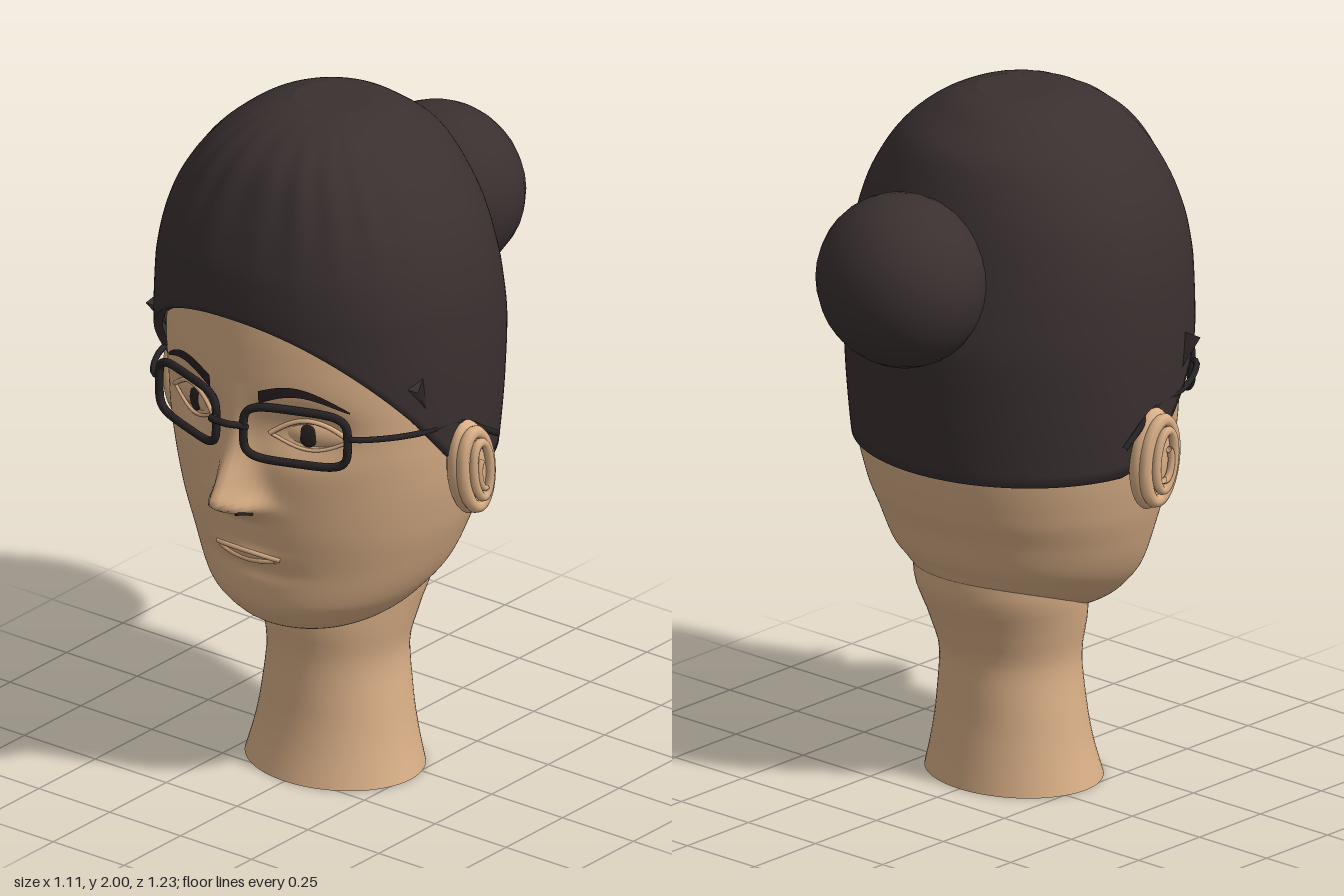
import * as THREE from 'three';

const mat = (name, color, side = THREE.FrontSide) => {
  const m = new THREE.MeshStandardMaterial({ color, side });
  m.name = name;
  return m;
};

// Monotone smooth interpolation of column c in a table keyed by its first column
function sample(rows, key, c) {
  const n = rows.length;
  const slope = (i) => (rows[i + 1][c] - rows[i][c]) / (rows[i + 1][0] - rows[i][0]);
  const tangent = (i) => {
    if (i === 0) return slope(0);
    if (i === n - 1) return slope(n - 2);
    const a = slope(i - 1), b = slope(i);
    return a * b <= 0 ? 0 : (2 * a * b) / (a + b);
  };
  if (key <= rows[0][0]) return rows[0][c];
  if (key >= rows[n - 1][0]) return rows[n - 1][c];
  let i = 0;
  while (key > rows[i + 1][0]) i++;
  const h = rows[i + 1][0] - rows[i][0], t = (key - rows[i][0]) / h, t2 = t * t, t3 = t2 * t;
  return (2 * t3 - 3 * t2 + 1) * rows[i][c] + (t3 - 2 * t2 + t) * h * tangent(i)
    + (3 * t2 - 2 * t3) * rows[i + 1][c] + (t3 - t2) * h * tangent(i + 1);
}

// Closed-round surface: fn(angle, v) -> [x, y, z], angle 0 faces +z
function loft(fn, nu, nv) {
  const pos = [], idx = [];
  for (let j = 0; j <= nv; j++)
    for (let i = 0; i < nu; i++) pos.push(...fn((i / nu) * Math.PI * 2, j / nv));
  for (let j = 0; j < nv; j++)
    for (let i = 0; i < nu; i++) {
      const a = j * nu + i, b = j * nu + ((i + 1) % nu);
      idx.push(a, b, b + nu, a, b + nu, a + nu);
    }
  const g = new THREE.BufferGeometry();
  g.setAttribute('position', new THREE.Float32BufferAttribute(pos, 3));
  g.setIndex(idx);
  g.computeVertexNormals();
  return g;
}

const CZ = 0.07; // depth of the widest line of the head
const gauss = (d, s) => Math.exp(-(d * d) / (s * s));
const power = (v, p) => Math.sign(v) * Math.abs(v) ** p;

// Head sections: y at front, rise towards the back, half width, front z, back z
const HEAD = [
  [0.455, 0.14, 0.05, 0.12, 0.0], [0.47, 0.13, 0.2, 0.26, -0.18], [0.52, 0.13, 0.29, 0.375, -0.23],
  [0.6, 0.1, 0.345, 0.435, -0.26], [0.7, 0.08, 0.388, 0.447, -0.285], [0.85, 0.02, 0.43, 0.475, -0.318],
  [1.0, 0, 0.46, 0.49, -0.348], [1.1, 0, 0.47, 0.503, -0.36], [1.25, 0, 0.475, 0.515, -0.365],
  [1.4, 0, 0.475, 0.508, -0.36], [1.55, 0, 0.455, 0.49, -0.33]];
// Hair sections: y, half width, front z, back z
const HAIR = [
  [0.95, 0.465, 0.5, -0.355], [1.0, 0.472, 0.505, -0.362], [1.2, 0.488, 0.52, -0.378], [1.35, 0.492, 0.524, -0.385],
  [1.5, 0.486, 0.522, -0.36], [1.6, 0.47, 0.512, -0.336], [1.7, 0.44, 0.485, -0.31], [1.8, 0.385, 0.445, -0.275],
  [1.88, 0.32, 0.4, -0.235], [1.95, 0.235, 0.325, -0.15], [1.985, 0.165, 0.25, -0.09], [2.0, 0.11, 0.18, -0.03]];
const NECK = [
  [0, 0.265, 0.29, -0.16], [0.1, 0.238, 0.265, -0.148], [0.2, 0.22, 0.25, -0.14], [0.35, 0.202, 0.243, -0.14],
  [0.47, 0.225, 0.255, -0.175], [0.6, 0.25, 0.24, -0.22], [0.7, 0.25, 0.2, -0.22]];
const NOSE = [
  [0.865, 0, 0.07], [0.9, 0.045, 0.075], [0.925, 0.1, 0.07], [0.95, 0.128, 0.06],
  [1.0, 0.098, 0.052], [1.1, 0.035, 0.045], [1.2, 0.01, 0.04], [1.3, 0, 0.04]];

// Nose, eye sockets, lips and chin dip as a push along z
function relief(x, y) {
  const ax = Math.abs(x);
  return sample(NOSE, y, 1) * gauss(x, sample(NOSE, y, 2))
    + 0.022 * gauss(ax - 0.055, 0.025) * gauss(y - 0.93, 0.025)
    - 0.045 * gauss(ax - 0.2, 0.12) * gauss(y - 1.165, 0.08)
    + 0.014 * gauss(x, 0.09) * gauss(y - 0.76, 0.022)
    - 0.01 * gauss(x, 0.12) * gauss(y - 0.705, 0.025);
}

function faceZ(x, y) {
  const q = x / sample(HEAD, y, 2);
  return CZ + (sample(HEAD, y, 3) - CZ) * Math.sqrt(Math.max(0, 1 - q * q)) + relief(x, y);
}

function headPoint(a, v) {
  const key = 0.455 + 1.095 * v ** 1.2;
  const zf = sample(HEAD, key, 3), zb = sample(HEAD, key, 4), c = Math.cos(a);
  const x = Math.sin(a) * sample(HEAD, key, 2);
  const z = CZ + c * (c > 0 ? zf - CZ : CZ - zb);
  const y = key + (sample(HEAD, key, 1) * (zf - z)) / (zf - zb);
  return [x, y, z + (c > 0 ? relief(x, key) * Math.min(1, c * 4) : 0)];
}

function hairPoint(a, v) {
  const c = Math.cos(a), p = c > 0 ? 2 / 2.3 : 1;
  const px = power(Math.sin(a), p), pz = power(c, p);
  const zEdge = CZ + pz * 0.452;
  const hairline = zEdge < 0 ? 0.985 : zEdge < 0.15 ? 0.985 + zEdge * 0.5 : 1.06 + (zEdge - 0.15) * 1.14;
  const t = Math.min(1, Math.max(0, (v - 0.02) / 0.95));
  const y = hairline + (2 - hairline) * Math.sin((t * Math.PI) / 2);
  // combed ripples at the front, a turned-in lower rim and a closed crown
  const band = gauss(y - 1.86, 0.16) * Math.max(0, c);
  let k = 1 + 0.012 * Math.sin(22 * a) * band;
  if (v < 0.01) k = 0.95;
  if (v > 0.999) k = 0;
  const r = c > 0 ? sample(HAIR, y, 2) - CZ : CZ - sample(HAIR, y, 3);
  return [px * sample(HAIR, y, 1) * k, y, CZ + pz * r * k];
}

function neckPoint(a, v) {
  const y = v * 0.7, zf = sample(NECK, y, 2), zb = sample(NECK, y, 3);
  return [Math.sin(a) * sample(NECK, y, 1), y, (zf + zb) / 2 + (Math.cos(a) * (zf - zb)) / 2];
}

export function createModel() {
  const skin = mat('skin', 0xd8ae86, THREE.DoubleSide);
  const hair = mat('hair', 0x3a3030, THREE.DoubleSide);
  const frame = mat('glassesFrame', 0x262122);
  const dark = mat('darkDetail', 0x2a2020, THREE.DoubleSide);

  const model = new THREE.Group();
  const add = (name, geo, material, x = 0, y = 0, z = 0) => {
    const m = new THREE.Mesh(geo, material);
    m.name = name;
    m.position.set(x, y, z);
    model.add(m);
    return m;
  };
  const tube = (name, pts, r, material, closed = false) => add(name, new THREE.TubeGeometry(
    new THREE.CatmullRomCurve3(pts.map((p) => new THREE.Vector3(...p)), closed, 'centripetal'), closed ? 96 : 28, r, 8, closed), material);
  const ball = (name, material, p, s) => {
    const m = add(name, new THREE.SphereGeometry(1, 28, 18), material, ...p);
    m.scale.set(...s);
    return m;
  };
  // Line laid on the face: x from x0 to x1, height from yOf(u)
  const faceLine = (name, x0, x1, yOf, r, lift, material) => tube(name,
    Array.from({ length: 13 }, (_, i) => {
      const x = x0 + ((x1 - x0) * i) / 12, y = yOf(i / 12);
      return [x, y, faceZ(x, y) + lift];
    }), r, material);

  add('head', loft(headPoint, 176, 100), skin);
  add('neck', loft(neckPoint, 64, 20), skin);
  add('hairCap', loft(hairPoint, 144, 50), hair);
  ball('hairBun', hair, [0, 1.56, -0.395], [0.25, 0.245, 0.225]);

  // Mouth
  faceLine('upperLip', -0.11, 0.11, (u) => 0.757 + 0.012 * Math.sin(u * Math.PI), 0.007, 0, skin);
  faceLine('lowerLip', -0.095, 0.095, (u) => 0.753 - 0.014 * Math.sin(u * Math.PI), 0.008, 0, skin);

  for (const s of [1, -1]) {
    // Nostrils
    faceLine('nostril', s * 0.035, s * 0.068, (u) => 0.913 + 0.009 * Math.sin(u * Math.PI), 0.005, 0, dark);

    // Eyes
    const ez = faceZ(0.2, 1.16);
    ball('eye', skin, [s * 0.2, 1.16, ez - 0.008], [0.1, 0.042, 0.022]).rotation.y = s * 0.35;
    ball('iris', dark, [s * 0.198, 1.157, ez + 0.011], [0.028, 0.034, 0.007]).rotation.y = s * 0.3;
    faceLine('upperEyelid', s * 0.1, s * 0.31, (u) => 1.155 + 0.05 * Math.sin(u * Math.PI), 0.007, 0.004, skin);
    faceLine('lowerEyelid', s * 0.1, s * 0.31, (u) => 1.155 - 0.04 * Math.sin(u * Math.PI), 0.005, 0.002, skin);

    // Eyebrow: tapered strip over the brow
    const brow = new THREE.PlaneGeometry(1, 1, 20, 2), bp = brow.attributes.position;
    for (let i = 0; i < bp.count; i++) {
      const u = bp.getX(i) + 0.5, x = s * (0.085 + 0.235 * u);
      const y = 1.27 - 0.022 * u + 0.042 * Math.sin(u * Math.PI) + bp.getY(i) * (0.034 * (1 - u) ** 0.6 + 0.005);
      bp.setXYZ(i, x, y, faceZ(x, y) + 0.009);
    }
    if (s < 0) brow.setIndex(Array.from(brow.index.array).reverse());
    brow.computeVertexNormals();
    add('eyebrow', brow, dark);

    // Glasses rim and temple
    const rim = Array.from({ length: 48 }, (_, i) => {
      const a = (i / 48) * Math.PI * 2;
      const x = 0.19 + 0.142 * power(Math.cos(a), 0.45);
      return [s * x, 1.167 + 0.08 * power(Math.sin(a), 0.45), 0.55 - 0.37 * x];
    });
    tube('glassesRim', rim, 0.012, frame, true);
    tube('glassesTemple', [[s * 0.33, 1.185, 0.428], [s * 0.35, 1.185, 0.425], [s * 0.41, 1.18, 0.35],
      [s * 0.456, 1.175, 0.25], [s * 0.478, 1.17, 0.12], [s * 0.492, 1.12, 0.03], [s * 0.497, 1.085, -0.03]], 0.009, frame);

    // Ear: lobe, folded rim and inner ridge
    ball('ear', skin, [s * 0.488, 1.025, 0.09], [0.045, 0.145, 0.075]).rotation.x = 0.12;
    const ringOf = (name, ry, rz, x, y, z, r, from = 0, to = 1) => tube(name,
      Array.from({ length: 25 }, (_, i) => {
        const a = (from + ((to - from) * i) / (to - from === 1 ? 25 : 24)) * Math.PI * 2;
        return [s * x, y + ry * Math.cos(a), z + rz * Math.sin(a) + 0.1 * ry * Math.cos(a)];
      }), r, skin, to - from === 1);
    ringOf('earOuterRim', 0.115, 0.056, 0.518, 1.025, 0.092, 0.019);
    ringOf('earInnerRim', 0.085, 0.036, 0.54, 1.03, 0.092, 0.013);
    ringOf('earRidge', 0.045, 0.02, 0.545, 1.02, 0.09, 0.01, 0.05, 0.55);

    // Small pointed hair tuft at the temple
    const tuft = add('hairTuft', new THREE.ConeGeometry(0.035, 0.11, 3), hair, s * 0.462, 1.28, 0.26);
    tuft.scale.x = 0.6;
    tuft.rotation.x = Math.PI + 0.5;
  }

  // Glasses bridge
  tube('glassesBridge', [[-0.055, 1.175, 0.525], [-0.045, 1.185, 0.545], [-0.028, 1.197, 0.578], [0, 1.199, 0.582],
    [0.028, 1.197, 0.578], [0.045, 1.185, 0.545], [0.055, 1.175, 0.525]], 0.01, frame);

  return model;
}
